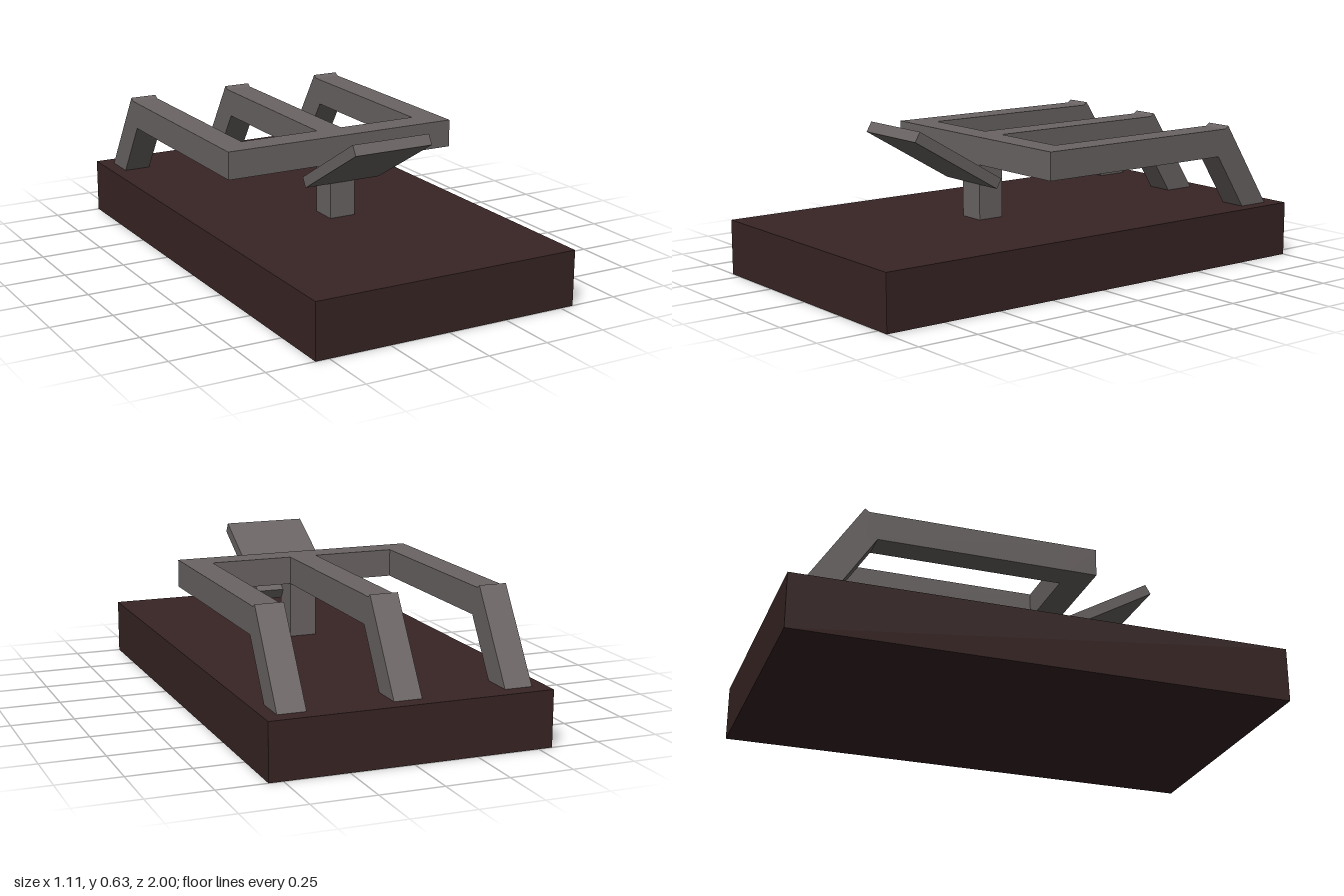
import * as THREE from 'three';

export function createModel() {
  const model = new THREE.Group();
  const baseBrown = new THREE.MeshStandardMaterial({ color: 0x382424 });
  baseBrown.name = 'dark brown';
  const frameGrey = new THREE.MeshStandardMaterial({ color: 0x6b6464 });
  frameGrey.name = 'warm grey';

  const T = 0.111; // thickness of the square bars

  function box(name, material, size, position, tilt = 0) {
    const mesh = new THREE.Mesh(new THREE.BoxGeometry(...size), material);
    mesh.name = name;
    mesh.position.set(...position);
    mesh.rotation.x = tilt;
    model.add(mesh);
    return mesh;
  }

  // Slab
  box('base', baseBrown, [1.111, 0.222, 2], [0, 0.111, 0]);

  // Front post and the crossbar on top of it
  box('frontPost', frameGrey, [T, 0.223, T], [0, 0.3335, 0.1665]);
  box('crossbar', frameGrey, [1, T, T], [0, 0.5, 0.1665]);

  // Three rails running back, each ending in a slanted leg
  const slant = THREE.MathUtils.degToRad(33);
  const legLength = 0.45; // the foot is sunk a little into the base
  const sin = Math.sin(slant), cos = Math.cos(slant);
  const legY = 0.567 - (T / 2) * sin - (legLength / 2) * cos;
  const legZ = -0.711 + (T / 2) * cos - (legLength / 2) * sin;
  [['right', -0.4445], ['middle', 0], ['left', 0.4445]].forEach(([side, x]) => {
    box(side + 'Rail', frameGrey, [T, T, 0.811], [x, 0.5, -0.2945]);
    box(side + 'Leg', frameGrey, [T, legLength, T], [x, legY, legZ], slant);
  });

  // Sloping plate in front of the post, rising towards the front
  box('slopingPlate', frameGrey, [0.333, 0.0444, 0.444], [0, 0.495, 0.4015], -Math.PI / 6);

  return model;
}
